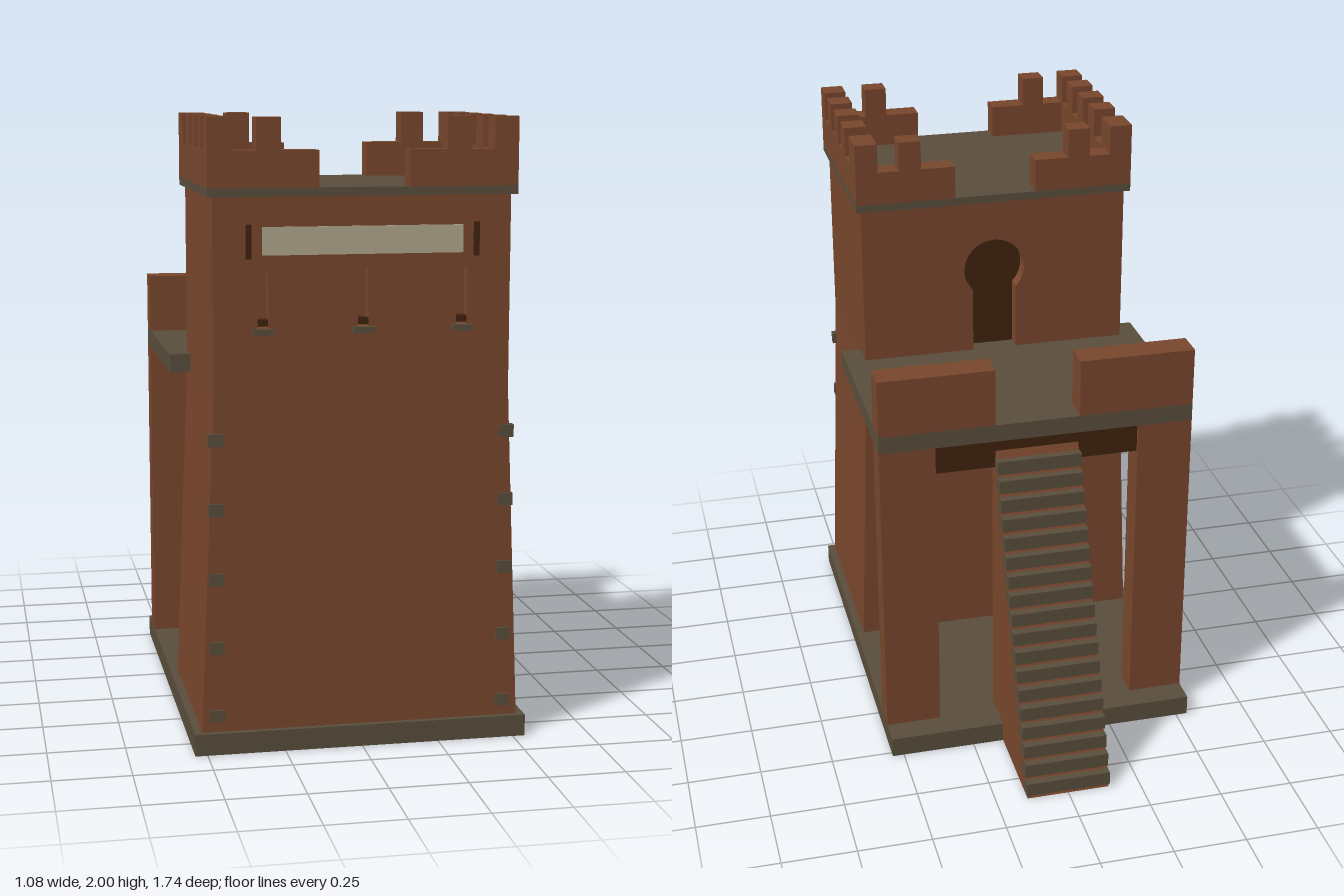
import * as THREE from 'three';

const mat = (name, color) => {
  const m = new THREE.MeshStandardMaterial({ color });
  m.name = name;
  return m;
};

export function createModel() {
  const brick = mat('brick', 0x7a472d);
  const stone = mat('stone', 0x5a4f3c);
  const wood = mat('darkWood', 0x41220f);
  const cloth = mat('paleBoard', 0xb3aa90);

  const model = new THREE.Group();
  model.name = 'castleTower';

  const add = (name, geometry, material) => {
    const mesh = new THREE.Mesh(geometry, material);
    mesh.name = name;
    model.add(mesh);
    return mesh;
  };
  // box given by its two opposite corners
  const block = (name, material, x0, x1, y0, y1, z0, z1) => {
    const mesh = add(name, new THREE.BoxGeometry(x1 - x0, y1 - y0, z1 - z0), material);
    mesh.position.set((x0 + x1) / 2, (y0 + y1) / 2, (z0 + z1) / 2);
  };
  // same box on both sides of x = 0
  const pair = (name, material, x0, x1, ...rest) => {
    block(name, material, x0, x1, ...rest);
    block(name, material, -x1, -x0, ...rest);
  };

  // base and platform
  block('base', stone, -0.54, 0.54, 0, 0.07, -0.52, 0.87);
  block('platform', stone, -0.54, 0.54, 1.14, 1.2, -0.43, 0.285);

  // tower: flared outline extruded in three layers, the outer ones with openings
  const towerLayer = (name, z0, z1, holes = []) => {
    const shape = new THREE.Shape([
      [-0.515, 0.06], [0.515, 0.06], [0.47, 1.15], [0.47, 1.76], [-0.47, 1.76], [-0.47, 1.15],
    ].map(([x, y]) => new THREE.Vector2(x, y)));
    shape.holes.push(...holes);
    const g = new THREE.ExtrudeGeometry(shape, { depth: z1 - z0, bevelEnabled: false, curveSegments: 16 });
    add(name, g.translate(0, 0, z0), brick);
  };

  // horseshoe doorway
  const door = new THREE.Path();
  const r = 0.108, half = 0.078, cy = 1.505;
  const a = Math.acos(half / r);
  door.moveTo(-half, 1.19);
  door.lineTo(half, 1.19);
  door.lineTo(half, cy - r * Math.sin(a));
  door.absarc(0, cy, r, -a, Math.PI + a, false);
  door.lineTo(-half, 1.19);

  // window slits
  const slitX = [-0.315, 0, 0.315];
  const slits = slitX.map((x) => new THREE.Path([
    [x - 0.017, 1.355], [x + 0.017, 1.355], [x + 0.017, 1.535], [x - 0.017, 1.535],
  ].map(([px, py]) => new THREE.Vector2(px, py))));

  towerLayer('towerBackWall', 0.185, 0.245, [door]);
  towerLayer('towerCore', 0.245, 0.81);
  towerLayer('towerFrontWall', 0.81, 0.85, slits);
  block('door', wood, -0.12, 0.12, 1.19, 1.62, 0.238, 0.245);

  for (const x of slitX) {
    block('slitSlat', wood, x - 0.016, x + 0.016, 1.362, 1.382, 0.812, 0.852);
    block('slitSill', stone, x - 0.033, x + 0.033, 1.335, 1.355, 0.84, 0.87);
  }

  // front board and its posts
  block('frontBoard', cloth, -0.317, 0.317, 1.58, 1.667, 0.849, 0.855);
  pair('boardPost', wood, 0.351, 0.368, 1.57, 1.675, 0.845, 0.86);

  // corner stones
  for (let i = 0; i < 5; i++) {
    const y = 0.122 + i * 0.222;
    pair('cornerStone', stone, 0.441, 0.489, y - 0.02, y + 0.02, 0.83, 0.858);
  }

  // roof and battlements
  block('roof', stone, -0.487, 0.487, 1.76, 1.787, 0.163, 0.87);
  pair('sideParapet', brick, 0.41, 0.487, 1.787, 1.9, 0.163, 0.87);
  const merlons = [[0.79, 0.87], [0.65, 0.73], [0.508, 0.585], [0.365, 0.442], [0.163, 0.277]];
  for (const [z0, z1] of merlons) pair('sideMerlon', brick, 0.41, 0.487, 1.9, 2, z0, z1);
  for (const [z0, z1] of [[0.163, 0.238], [0.795, 0.87]]) {
    pair('endParapet', brick, 0.142, 0.41, 1.787, 1.9, z0, z1);
    pair('endMerlon', brick, 0.26, 0.337, 1.9, 2, z0, z1);
  }

  // rear gate: pillars, lintel and parapets
  pair('pillar', brick, 0.35, 0.54, 0.07, 1.14, -0.43, -0.33);
  block('lintel', wood, -0.35, 0.35, 1.04, 1.14, -0.42, -0.34);
  pair('gateParapet', brick, 0.145, 0.54, 1.2, 1.4, -0.43, -0.33);

  // stairs: sloping brick wedge with stone treads
  const rise = 0.0597, run = 0.0242, foot = 0.866;
  const side = new THREE.Shape();
  side.moveTo(0.37, 0);
  side.lineTo(foot, 0);
  side.lineTo(foot - 18.8 * run, 18.8 * rise);
  side.lineTo(0.37, 18.8 * rise);
  const wedge = new THREE.ExtrudeGeometry(side, { depth: 0.286, bevelEnabled: false });
  add('stairBlock', wedge.rotateY(Math.PI / 2).translate(-0.143, 0, 0), brick);
  for (let i = 0; i < 18; i++) {
    const z = -foot - 0.004 + i * run, y = i * rise;
    block('stairTread', stone, -0.145, 0.145, y + 0.012, y + rise, z, z + 0.05);
  }

  return model;
}
